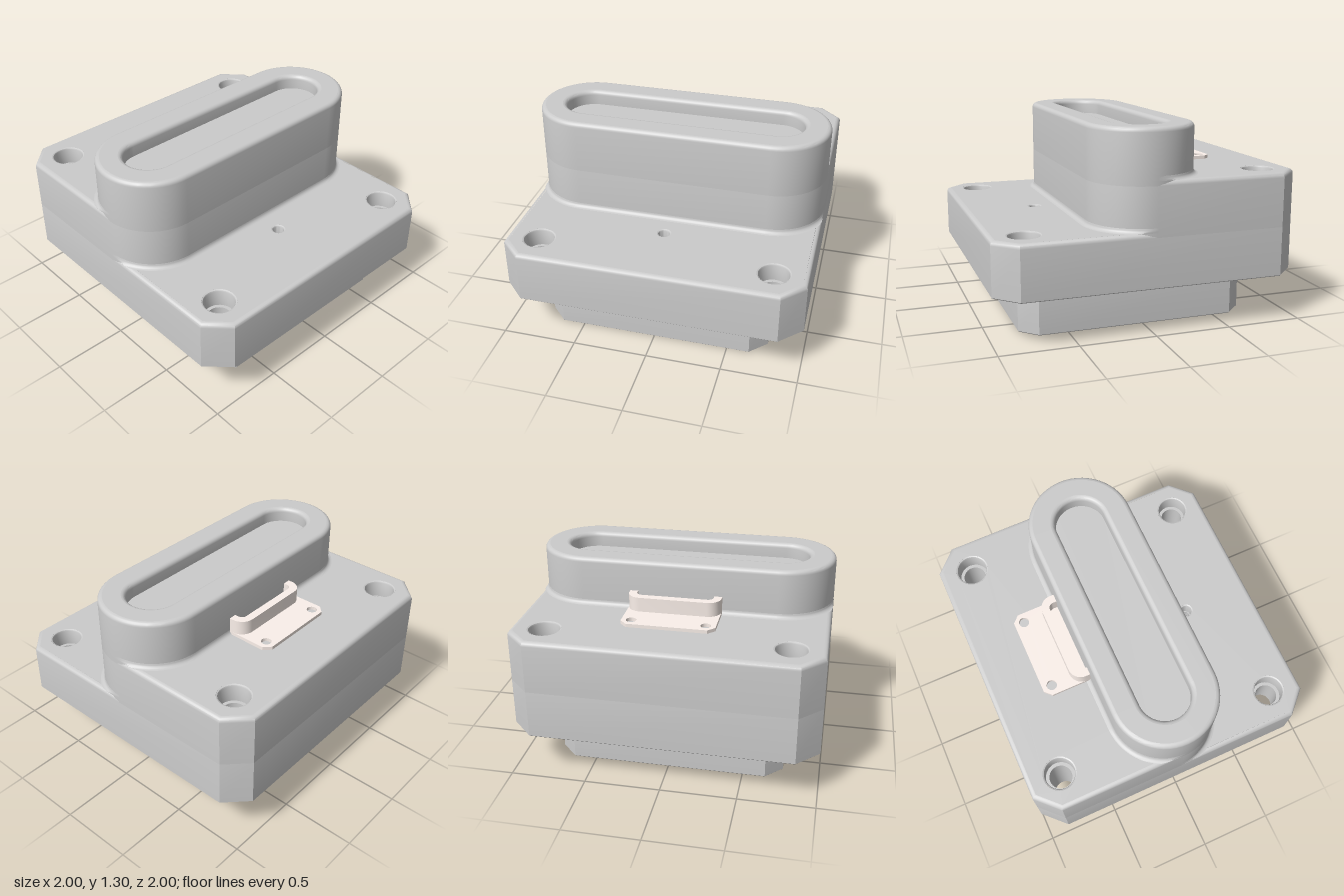
import * as THREE from 'three';
import { toCreasedNormals } from 'three/addons/utils/BufferGeometryUtils.js';

const GREY = new THREE.MeshStandardMaterial({ color: 0xcccccc });
const CREAM = new THREE.MeshStandardMaterial({ color: 0xfbf0ea });
const T = 0.03; // wall thickness and edge radius
const V = (x, s) => new THREE.Vector2(x, s);

function add(parent, name, geometry, material = GREY) {
  const mesh = new THREE.Mesh(toCreasedNormals(geometry, 0.6), material);
  mesh.name = name;
  parent.add(mesh);
}

// Plan outlines run counter-clockwise in (x, -z); d is the inset.
function chamferedPlan(x0, x1, Z, c, d) {
  const a = x0 + d, b = x1 - d, z = Z - d, k = c - d * 0.586;
  return [V(b, k - z), V(b, z - k), V(b - k, z), V(a + k, z),
    V(a, z - k), V(a, k - z), V(a + k, -z), V(b - k, -z)];
}
function halfStadium(w, Z, d, side) {
  const pts = [], n = 14;
  for (const end of [-1, 1]) {
    for (let i = 0; i <= n; i++) {
      const a = ((end < 0 ? -1 : 0) + i / n) * Math.PI / 2;
      pts.push(V(side * (w - d) * Math.cos(a), side * (end * (Z - w) + (w - d) * Math.sin(a))));
    }
  }
  return pts;
}
const stadium = (w, Z, d) => [...halfStadium(w, Z, d, 1).slice(0, -1), ...halfStadium(w, Z, d, -1).slice(0, -1)];

// Wall skinned through an outline at each [inset, height] of a profile
function loft(outline, profile, closed = true) {
  const pos = [], index = [];
  const n = outline(0).length;
  for (const [d, y] of profile) for (const p of outline(d)) pos.push(p.x, y, -p.y);
  for (let j = 0; j < profile.length - 1; j++) {
    for (let i = 0; i < (closed ? n : n - 1); i++) {
      const a = j * n + i, b = j * n + (i + 1) % n;
      index.push(a, b, b + n, a, b + n, a + n);
    }
  }
  const g = new THREE.BufferGeometry();
  g.setAttribute('position', new THREE.Float32BufferAttribute(pos, 3));
  g.setIndex(index);
  return g;
}
function roundTop(y, r = T) {
  return [0, 1, 2, 3, 4, 5].map(i => {
    const a = i / 5 * Math.PI / 2;
    return [r * (1 - Math.cos(a)), y - r + r * Math.sin(a)];
  });
}
// Hollow wall: up the outside from yOut, with the inner skin reaching yIn
const wall = (yIn, yOut, top) => [[T, top - T], [T, yIn], [0, yOut], ...roundTop(top)];

function slab(points, y0, y1, holes = []) {
  const shape = new THREE.Shape(points);
  for (const h of holes) {
    if (Array.isArray(h)) shape.holes.push(new THREE.Path(h));
    else shape.holes.push(new THREE.Path().absarc(h.x, -h.z, h.r, 0, Math.PI * 2, true));
  }
  const g = new THREE.ExtrudeGeometry(shape, { depth: y1 - y0, bevelEnabled: false, curveSegments: 20 });
  return g.rotateX(-Math.PI / 2).translate(0, y0, 0);
}

// Hollow screw post with a wide counterbore above a narrow tube
function post(b, top) {
  const rim = 0.012, step = top - b.sink, w = b.wall;
  const pts = [[b.R + rim, top], [b.R + rim * 0.3, top - rim * 0.3], [b.R, top - rim], [b.R, step], [b.r, step],
    [b.r, b.end], [b.r + w, b.end], [b.r + w, step - 0.05], [b.R + w, step - 0.02], [b.R + w, top - T]];
  return new THREE.LatheGeometry(pts.map(p => V(...p)), 32).translate(b.x, 0, b.z);
}

function buildShell(name, s) {
  const group = new THREE.Group();
  group.name = name;
  const base = d => chamferedPlan(s.x0, s.x1, s.Z, s.c, d);
  const arc = (d, side) => halfStadium(s.w, s.Z, d, side);
  const block = d => [...base(d).slice(3, 7), ...arc(d, 1)];
  const tower = d => stadium(s.w, s.Z, d);
  const holes = side => s.posts.filter(p => p.x * side > 0).map(p => ({ x: p.x, z: p.z, r: p.R + 0.012 }));

  // Skirt and low deck
  add(group, 'skirt', loft(base, [[T, s.low - T], [T, s.y0], [0.006, s.y0], [0, s.y0 + 0.006], ...roundTop(s.low)]));
  const r = base(T);
  add(group, 'lowDeck', slab([r[7], r[0], r[1], r[2], ...arc(T, 1).reverse().slice(1, -1)], s.low - T, s.low, holes(1)));

  // Raised half block and its deck
  add(group, 'raisedBlock', loft(block, wall(s.low - T, s.low - T, s.mid)));
  add(group, 'raisedDeck', slab([...r.slice(3, 7), ...arc(T, -1).reverse()], s.mid - T, s.mid, holes(-1)));

  // Oblong tower
  add(group, 'tower', loft(tower, wall(s.mid - T, s.mid - T, s.top)));
  const slot = d => stadium(0.17, 0.825, d);
  add(group, 'towerTop', slab(tower(T), s.top - T, s.top, s.pocket ? [slot(-T)] : []));
  if (s.pocket) {
    const floor = s.top - s.pocket;
    const rim = roundTop(s.top).reverse().map(([d, y]) => [-d, y]);
    add(group, 'pocketWall', loft(slot, [...rim, [0, floor]]));
    add(group, 'pocketOutside', loft(slot, [[-T, floor - T], [-T, s.top - T]]));
    add(group, 'pocketFloor', slab(slot(-T), floor - T, floor));
  }

  // Fillets where the tower meets the decks
  for (const [side, y] of [[1, s.low], [-1, s.mid]]) {
    const clamped = d => arc(d, side).map(p => V(p.x, THREE.MathUtils.clamp(p.y, -s.Z, s.Z)));
    const profile = [0, 1, 2, 3, 4, 5].map(i => {
      const a = i / 5 * Math.PI / 2;
      return [-T * (1 - Math.sin(a)), y + T * (1 - Math.cos(a))];
    });
    add(group, 'towerFillet', loft(clamped, profile, false));
  }

  // Screw posts
  for (const p of s.posts) add(group, 'screwPost', post(p, p.x > 0 ? s.low : s.mid));
  return group;
}

function corners(xs, z, spec) {
  return xs.flatMap(x => [-z, z].map(zz => ({ x, z: zz, ...spec })));
}

function buildClip() {
  const clip = new THREE.Group();
  clip.name = 'clip';
  const x0 = -0.665, x1 = -0.345, s0 = -0.29, s1 = 0.325, c = 0.045;
  // Mounting plate
  const plate = [V(x1, s0), V(x1, s1), V(x0 + c, s1), V(x0, s1 - c), V(x0, s0 + c), V(x0 + c, s0)];
  add(clip, 'clipPlate', slab(plate, 0.975, 1.003,
    [{ x: -0.6, z: -0.26, r: 0.034 }, { x: -0.6, z: 0.225, r: 0.034 }]), CREAM);
  // Upright lip, bent toward the tower at both ends
  const bend = (x, a, b, rad) => {
    const pts = [V(x1, b)];
    for (let i = 0; i <= 8; i++) {
      const t = Math.PI / 2 * (1 + i / 8);
      pts.push(V(x + rad + rad * Math.cos(t), b - rad + rad * Math.sin(t)));
    }
    for (let i = 0; i <= 8; i++) {
      const t = Math.PI * (1 + i / 16);
      pts.push(V(x + rad + rad * Math.cos(t), a + rad + rad * Math.sin(t)));
    }
    return [...pts, V(x1, a)];
  };
  const lip = [...bend(-0.465, s0, s1, 0.085), ...bend(-0.412, s0 + 0.053, s1 - 0.053, 0.035).reverse()];
  add(clip, 'clipLip', slab(lip, 1.0, 1.1), CREAM);
  return clip;
}

export function createModel() {
  const model = new THREE.Group();
  model.name = 'housing';
  const big = { R: 0.098, r: 0.075, sink: 0.12, wall: 0.02, end: 0.3 };
  const small = { R: 0.076, r: 0.05, sink: 0.1, wall: 0.016, end: 0 };
  const pin = { z: 0, r: 0.03, R: 0.036, sink: 0.1, wall: 0.013 };

  model.add(buildShell('outerShell', {
    x0: -1, x1: 1, Z: 1, c: 0.145, w: 0.35, y0: 0.305, low: 0.66, mid: 0.98, top: 1.305, pocket: 0.1,
    posts: [...corners([-0.78, 0.78], 0.78, big), { ...pin, x: 0.52, end: 0.28 }],
  }));
  model.add(buildShell('innerShell', {
    x0: -0.73, x1: 0.8, Z: 0.76, c: 0.11, w: 0.3, y0: 0, low: 0.27, mid: 0.59, top: 0.92, pocket: 0,
    posts: [...corners([-0.57, 0.63], 0.59, small), { ...pin, x: 0.43, end: 0.01 }],
  }));
  model.add(buildClip());
  return model;
}
